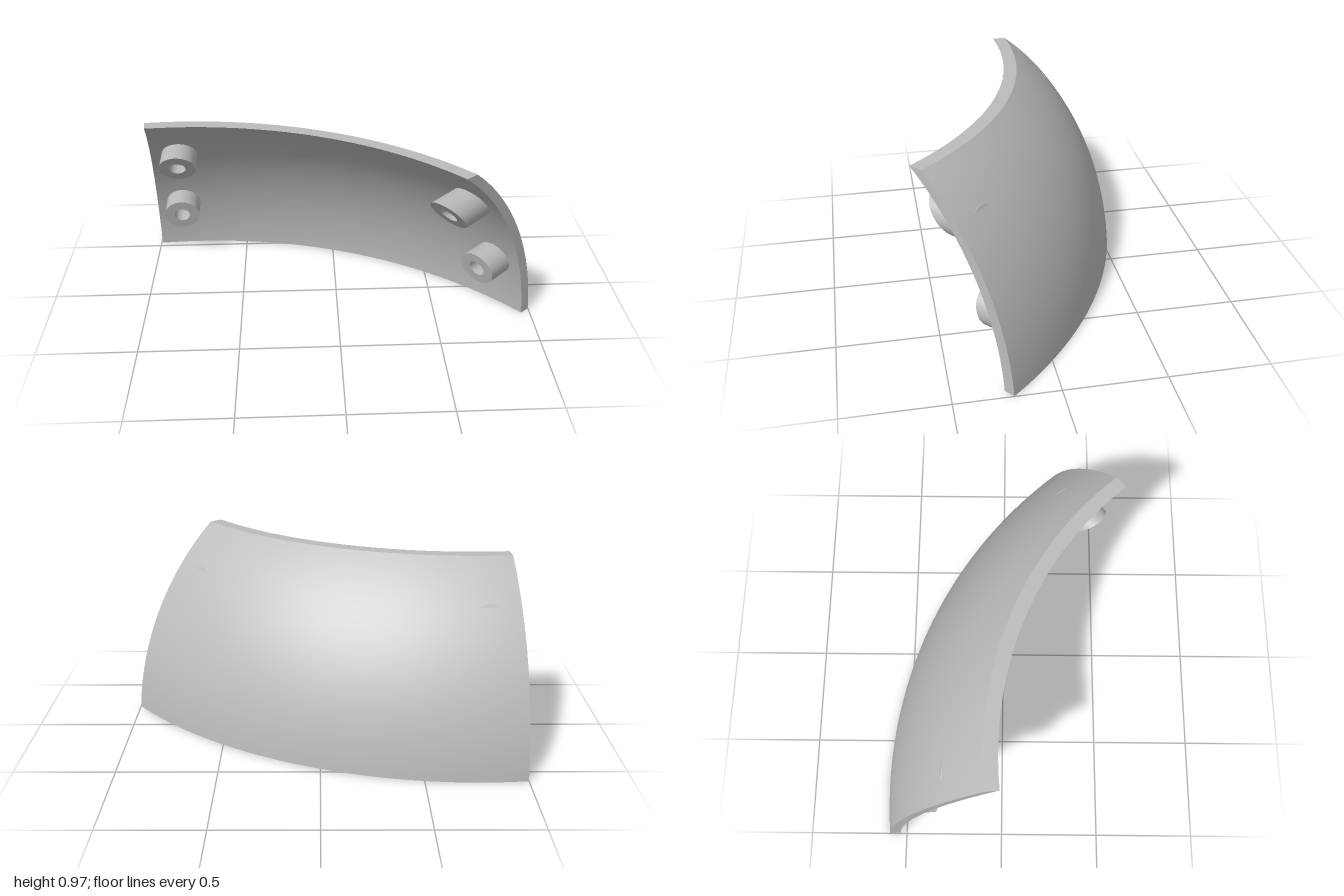
import * as THREE from 'three';
import { toCreasedNormals } from 'three/addons/utils/BufferGeometryUtils.js';

const CX = -0.763, CZ = 1.699;          // vertical axis the panel curves around
const START = THREE.MathUtils.degToRad(-5.9);
const END = THREE.MathUtils.degToRad(50);
const HEIGHT = 0.97;
const DROP = 0.11;                      // profile arcs are centred this far below the base

// Points on a circular arc profile (distance from axis, height)
function arc(centre, radius, n) {
  return Array.from({ length: n + 1 }, (_, i) => {
    const y = (HEIGHT * i) / n;
    return new THREE.Vector2(centre + Math.sqrt(radius * radius - (y + DROP) ** 2), y);
  });
}

// Curved wall section swept around the axis by bending a straight extrusion
function shellGeometry() {
  const outline = [...arc(0.9244, 1.38, 28), ...arc(0.888, 1.36, 28).reverse()];
  const geo = new THREE.ExtrudeGeometry(new THREE.Shape(outline), {
    depth: 1, steps: 56, bevelEnabled: false,
  });
  const p = geo.attributes.position;
  for (let i = 0; i < p.count; i++) {
    const a = START + (END - START) * p.getZ(i), r = p.getX(i);
    p.setXYZ(i, CX + r * Math.sin(a), p.getY(i), CZ - r * Math.cos(a));
  }
  return toCreasedNormals(geo, 0.5);
}

// Round boss with a blind hole; front and back faces are slanted to follow the wall
function bossGeometry(length, slant, backSlant) {
  const R = 0.093, hole = 0.042, depth = 0.12;
  const profile = [[0, depth], [hole, depth], [hole, 0], [R, 0], [R, length], [0, length]]
    .map(([x, y]) => new THREE.Vector2(x, y));
  const geo = new THREE.LatheGeometry(profile, 40);
  const p = geo.attributes.position;
  for (let i = 0; i < p.count; i++) {
    const y = p.getY(i);
    if (y < 1e-6) p.setY(i, -slant * p.getZ(i));
    else if (y > length - 1e-6) p.setY(i, length - backSlant * p.getZ(i));
  }
  geo.rotateX(-Math.PI / 2);
  return toCreasedNormals(geo, 0.5);
}

export function createModel() {
  const group = new THREE.Group();
  const grey = new THREE.MeshStandardMaterial({ color: 0xbcbcbc });
  grey.name = 'grey';

  const shell = new THREE.Mesh(shellGeometry(), grey);
  shell.name = 'curvedPanel';
  group.add(shell);

  // Mounting bosses: an upper and a lower one near each end of the panel
  const upper = { y: 0.695, back: 2.029, backSlant: 0.57 };
  const lower = { y: 0.298, back: 2.222, backSlant: 0.2 };
  const bosses = [
    { ...upper, name: 'upperRightBoss', degrees: -1.5, face: 1.81, slant: 0.75 },
    { ...upper, name: 'upperLeftBoss', degrees: 45.1, face: 1.795, slant: 0.85 },
    { ...lower, name: 'lowerRightBoss', degrees: -2.1, face: 2.035, slant: 0.3 },
    { ...lower, name: 'lowerLeftBoss', degrees: 45.8, face: 2.035, slant: 0.3 },
  ];
  for (const { name, y, degrees, face, back, slant, backSlant } of bosses) {
    const a = THREE.MathUtils.degToRad(degrees);
    const boss = new THREE.Mesh(bossGeometry(back - face, slant, backSlant), grey);
    boss.name = name;
    boss.position.set(CX + face * Math.sin(a), y, CZ - face * Math.cos(a));
    boss.rotation.y = -a;
    group.add(boss);
  }
  return group;
}
